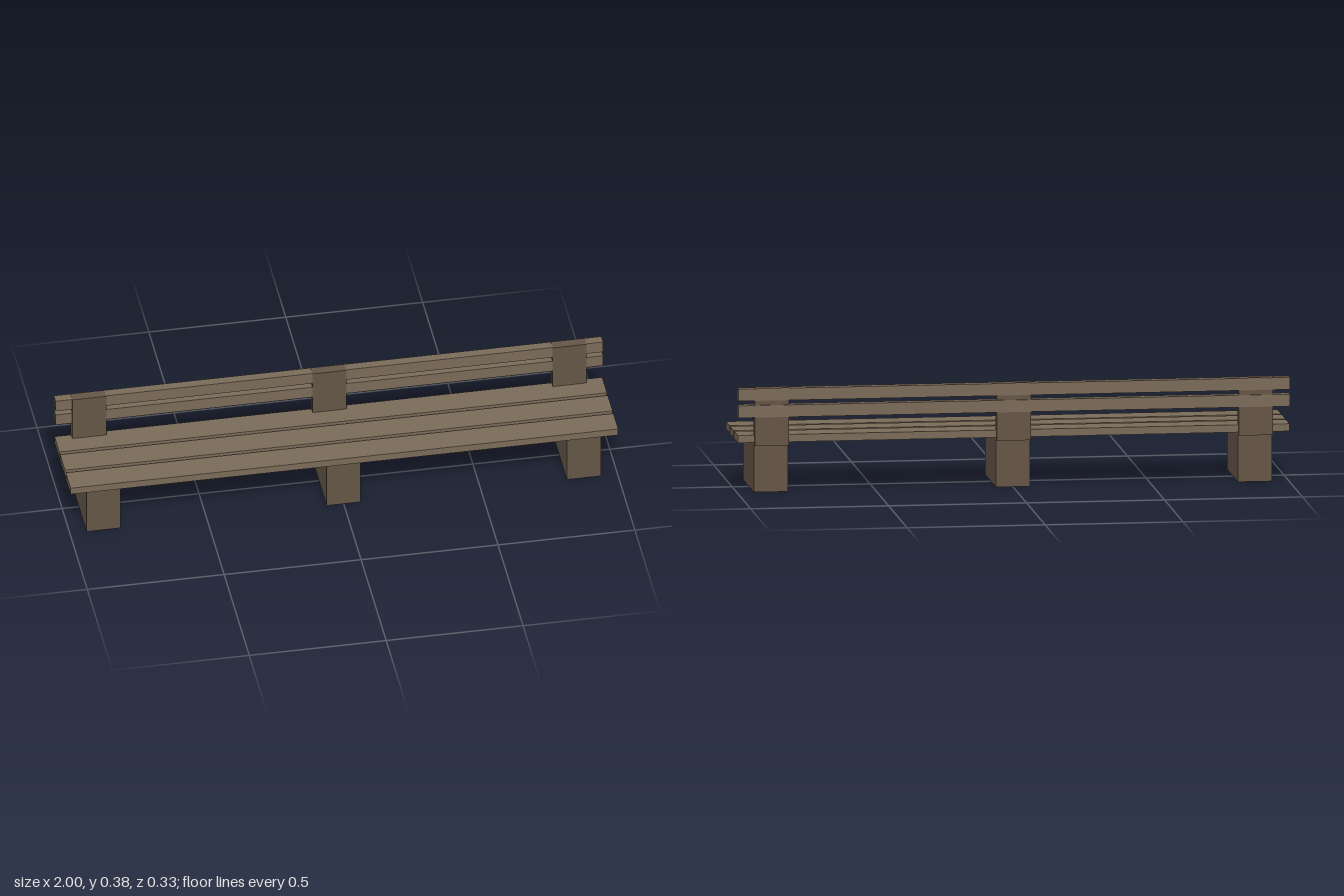
import * as THREE from 'three';

export function createModel() {
  const bench = new THREE.Group();
  bench.name = 'bench';
  const slatWood = new THREE.MeshStandardMaterial({ color: 0x7a6b58 });
  const darkWood = new THREE.MeshStandardMaterial({ color: 0x645546 });

  // Box centred on x, spanning y0..y1 and z0..z1
  function beam(name, material, x, width, y0, y1, z0, z1) {
    const mesh = new THREE.Mesh(new THREE.BoxGeometry(width, y1 - y0, z1 - z0), material);
    mesh.position.set(x, (y0 + y1) / 2, (z0 + z1) / 2);
    mesh.name = name;
    bench.add(mesh);
  }

  // Three block legs, each with a backrest post behind it
  for (const x of [-0.877, 0, 0.877]) {
    beam('leg', darkWood, x, 0.124, 0, 0.191, -0.132, 0.154);
    beam('backPost', darkWood, x, 0.124, 0.173, 0.383, -0.162, -0.128);
  }

  // Seat slats, front to back
  for (const z of [0.12, 0.008, -0.104]) {
    beam('seatSlat', slatWood, 0, 2, 0.184, 0.211, z - 0.048, z + 0.048);
  }

  // Backrest slats, let into the posts
  for (const y of [0.277, 0.338]) {
    beam('backSlat', slatWood, 0, 2, y, y + 0.044, -0.167, -0.132);
  }

  return bench;
}
